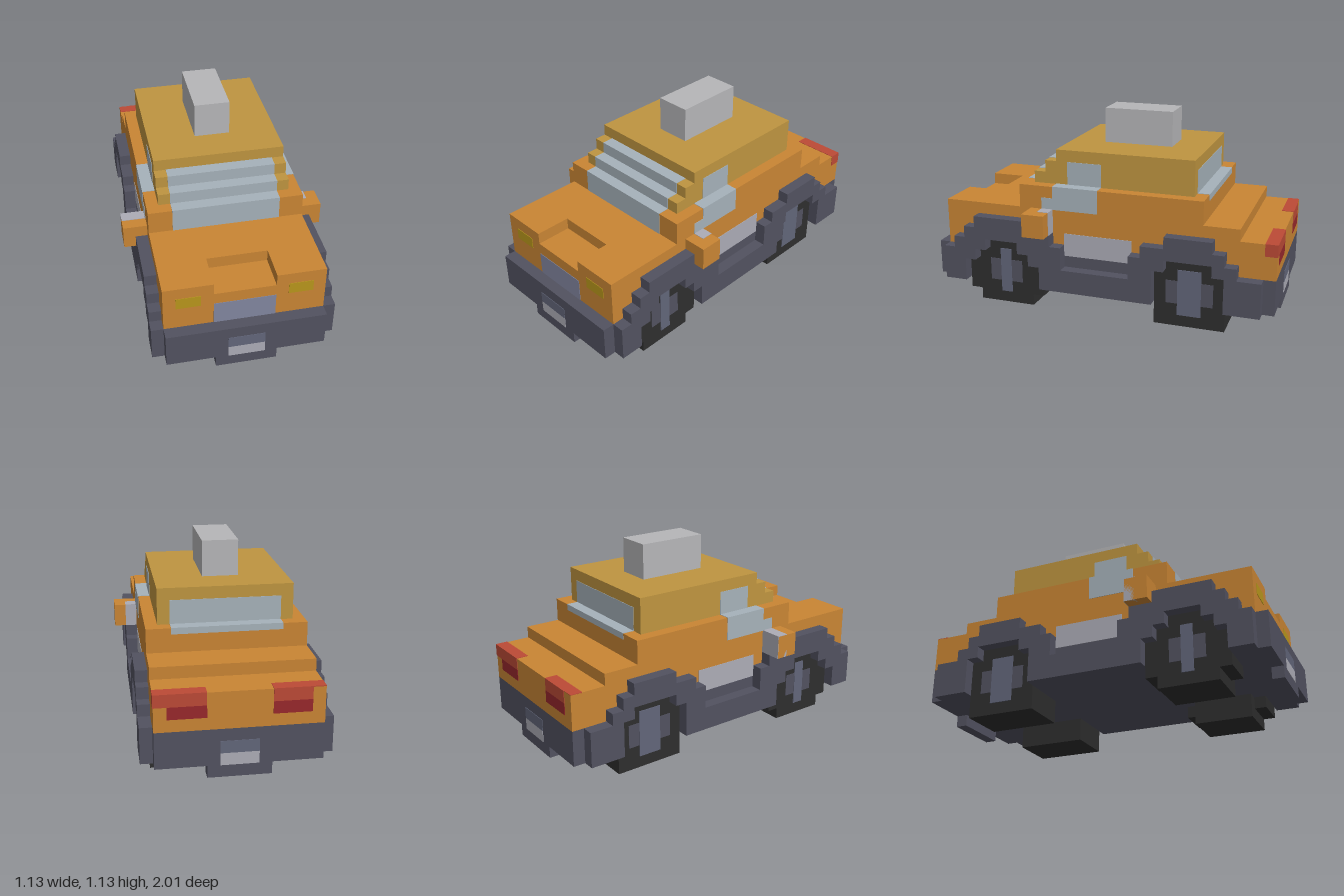
import * as THREE from 'three';

const U = 1 / 15; // one voxel
const E = 0.04;   // thickness of painted panels, in voxels
const mat = (color) => new THREE.MeshStandardMaterial({ color, flatShading: true });
const M = {
  orange: mat(0xc98534), roof: mat(0xbf9540), dark: mat(0x525260), slate: mat(0x62667a),
  grille: mat(0x8286a0), glass: mat(0xa6b2ba), light: mat(0xacacb6), sign: mat(0xb6b6b8),
  tyre: mat(0x2e2e2e), yellow: mat(0xb8961c), red: mat(0xbc4a36), deepRed: mat(0x98282c),
};

export function createModel() {
  const car = new THREE.Group();
  car.name = 'car';

  // Box from voxel bounds
  const box = (name, m, [x0, x1], [y0, y1], [z0, z1]) => {
    const g = new THREE.BoxGeometry((x1 - x0) * U, (y1 - y0) * U, (z1 - z0) * U);
    g.translate((x0 + x1) / 2 * U, (y0 + y1) / 2 * U, (z0 + z1) / 2 * U);
    const mesh = new THREE.Mesh(g, m);
    mesh.name = name;
    car.add(mesh);
  };
  // Same box on both sides of the car
  const pair = (name, m, [x0, x1], y, z) => {
    box(name + 'Left', m, [x0, x1], y, z);
    box(name + 'Right', m, [-x1, -x0], y, z);
  };

  // Chassis and bodywork
  box('chassis', M.dark, [-6.5, 6.5], [2, 5], [-15, 15]);
  box('lowerBody', M.orange, [-6.5, 6.5], [5, 8], [-15, 14]);
  box('deck', M.orange, [-6.5, 6.5], [8, 9], [-12, 11]);
  pair('hoodEdge', M.orange, [2.5, 6.5], [8, 9], [11, 14]);
  box('cabinBase', M.orange, [-6.5, 6.5], [9, 11], [-9, 7]);
  for (let i = 0; i < 3; i++) box('roofStep', M.roof, [-5.5, 5.5], [11 + i, 12 + i], [-8, 6 - i]);
  box('roofSign', M.sign, [-1.5, 1.5], [14, 17], [-5, 1]);

  // Windshield follows the steps of the cabin
  [[9, 11, 7], [11, 12, 6], [12, 13, 5]].forEach(([y0, y1, z]) =>
    box('windshield', M.glass, [-4.5, 4.5], [y0, y1 + E], [z - 1, z + E]));

  // Rear window with its ledge
  box('rearWindow', M.glass, [-4.5, 4.5], [11, 13], [-8 - E, -7]);
  box('rearWindowLedge', M.glass, [-4.5, 4.5], [10.5, 11 + E], [-9 - E, -8]);

  // Side windows and door panels
  pair('sideWindowLower', M.glass, [5.5, 6.5 + E], [9, 11 + E], [0, 4]);
  pair('sideWindowCorner', M.glass, [6, 6.5 + E], [9, 10], [4, 5]);
  pair('sideWindowUpper', M.glass, [5, 5.5 + E], [11, 13], [0, 3]);
  pair('doorPanel', M.light, [6, 6.5 + E], [5, 7], [-3, 3]);

  // Wing mirrors
  pair('mirrorHousing', M.orange, [6.5, 8.5], [7, 9], [4 + E, 6]);
  box('mirrorGlassLeft', M.light, [6.5, 7.5], [7, 9 + E], [4, 5]);
  box('mirrorGlassRight', M.light, [-8.5, -6.5], [7, 9 + E], [4, 5]);

  // Front lights and grille
  pair('headlight', M.yellow, [3.5, 5.5], [7, 8], [13.5, 14 + E]);
  box('grille', M.grille, [-2.5, 2.5], [5, 7], [13.5, 14 + E]);

  // Tail lights
  box('tailLightLeft', M.red, [2.5, 6.5 + E], [7, 8 + E], [-15 - E, -14]);
  box('tailLightRight', M.red, [-5.5, -2.5], [7, 8 + E], [-15 - E, -14]);
  box('tailLightCornerRight', M.red, [-6.5, -5.5], [8 - E, 8 + E], [-15, -14]);
  pair('tailLightLower', M.deepRed, [2.5, 5.5], [6, 7], [-15 - E, -14]);

  // Bumper plates at both ends
  for (const s of [1, -1]) {
    const span = (a, b) => (s > 0 ? [a, b] : [-b, -a]);
    box('bumperLip', M.dark, [-2.5, 2.5], [1, 2], span(14, 15));
    box('plateTop', M.slate, [-1.5, 1.5], [3, 4], span(14.5, 15 + E));
    box('plate', M.light, [-1.5, 1.5], [2, 3], span(14.5, 15 + E));
  }

  // Side fenders: stepped outline in z and y, with open wheel arches
  const outline = [
    [14, 2], [14, 5], [13, 5], [13, 6], [12, 6], [12, 7], [11, 7], [11, 8], [6, 8], [6, 7],
    [4, 7], [4, 6], [3, 6], [3, 4], [-3, 4], [-3, 6], [-4, 6], [-4, 7], [-6, 7], [-6, 8],
    [-10, 8], [-10, 7], [-11, 7], [-11, 6], [-12, 6], [-12, 5], [-14, 5], [-14, 2],
    [-11, 2], [-11, 5], [-10, 5], [-10, 6], [-6, 6], [-6, 5], [-5, 5], [-5, 2],
    [5, 2], [5, 4], [6, 4], [6, 5], [7, 5], [7, 6], [10, 6], [10, 5], [11, 5], [11, 4], [12, 4], [12, 2],
  ].map(([z, y]) => new THREE.Vector2(z * U, y * U));
  // The inner step of each fender sits just above the sill
  const fender = new THREE.ExtrudeGeometry(new THREE.Shape(outline), { depth: U, bevelEnabled: false });
  fender.rotateY(-Math.PI / 2);
  for (const [name, x] of [['fenderLeft', 7.5], ['fenderRight', -6.5]]) {
    const mesh = new THREE.Mesh(fender, M.dark);
    mesh.name = name;
    mesh.position.x = x * U;
    car.add(mesh);
  }

  // Wheels: stacked slabs making a stepped disc, with a cross-shaped hub
  const wheel = (name, inner, slabs, c, r) => {
    slabs.forEach(([y0, y1, h]) => pair(name + 'Tyre', M.tyre, [inner, 6.5 + E], [y0, y1], [c - h, c + h]));
    pair(name + 'Hub', M.dark, [6, 6.5 + 2 * E], [2, 4], [c - r, c + r]);
    pair(name + 'HubCross', M.slate, [6, 6.5 + 3 * E], [1, 5], [c - r + 1, c + r - 1]);
  };
  wheel('frontWheel', 3.5, [[0, 1, 2.5], [1, 4, 3.5], [4, 5, 2.5], [5, 6, 1.5]], 8.5, 1.5);
  wheel('rearWheel', 2.5, [[0, 5, 3], [5, 6, 2]], -8, 2);
  pair('frontWheelInner', M.tyre, [2.5, 3.5], [0, 2], [6, 11]);

  return car;
}
